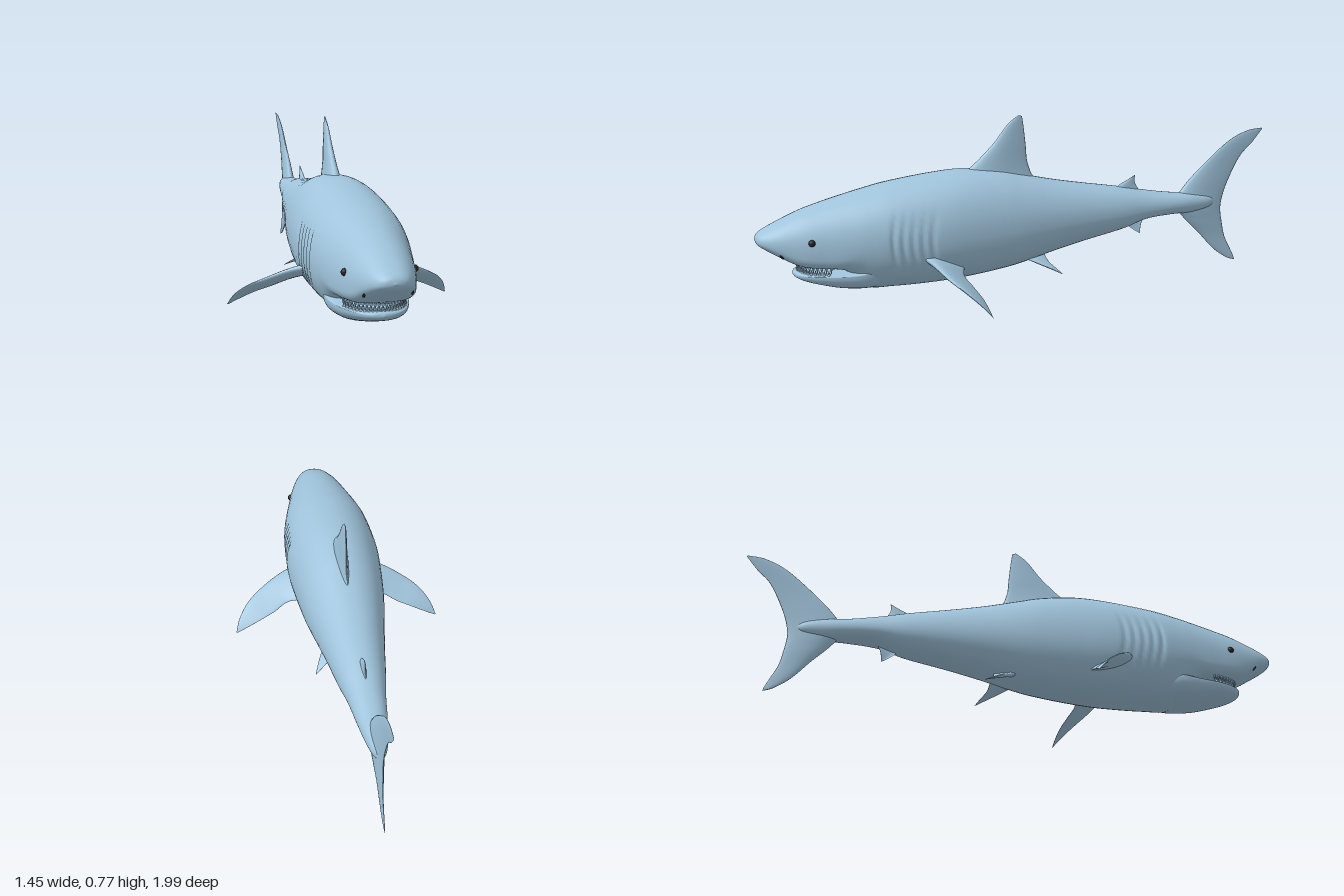
import * as THREE from 'three';

const skin = new THREE.MeshStandardMaterial({ color: 0xa0c4dc });
const dark = new THREE.MeshStandardMaterial({ color: 0x222222 });

// Skin closed rings of points; the winding is set so the faces look outward
function skinRings(rings) {
  const n = rings[0].length, pos = [], idx = [];
  rings.forEach(r => r.forEach(p => pos.push(p.x, p.y, p.z)));
  for (let i = 0; i < rings.length - 1; i++) {
    for (let j = 0; j < n; j++) {
      const a = i * n + j, b = i * n + (j + 1) % n, c = a + n, d = b + n;
      idx.push(a, b, c, b, d, c);
    }
  }
  const flat = rings.flat();
  let volume = 0;
  const v = new THREE.Vector3();
  for (let i = 0; i < idx.length; i += 3) {
    volume += v.crossVectors(flat[idx[i + 1]], flat[idx[i + 2]]).dot(flat[idx[i]]);
  }
  if (volume < 0) idx.reverse();
  const g = new THREE.BufferGeometry();
  g.setAttribute('position', new THREE.Float32BufferAttribute(pos, 3));
  g.setIndex(idx);
  g.computeVertexNormals();
  return g;
}

const spline = pts => new THREE.CatmullRomCurve3(pts, false, 'catmullrom', 0.5);
const vec = (x, y, z) => new THREE.Vector3(x, y, z);
const spow = (a, e) => Math.sign(a) * Math.abs(a) ** e;

// Loft along z through stations [z, top, widest level, bottom, half width]
function loftBody(stations, steps, lowerPower, shape) {
  const a = spline(stations.map(r => vec(r[0], r[1], r[2])));
  const b = spline(stations.map(r => vec(r[3], r[4], 0)));
  const count = (stations.length - 1) * steps, rings = [], sides = 48;
  for (let i = 0; i <= count; i++) {
    const p = a.getPoint(i / count), q = b.getPoint(i / count), ring = [];
    for (let j = 0; j < sides; j++) {
      const t = j / sides * Math.PI * 2, c = Math.cos(t), s = Math.sin(t);
      const e = s >= 0 ? 0.95 : lowerPower(p.x);
      const y = p.z + spow(s, e) * (s >= 0 ? p.y - p.z : p.z - q.x);
      const pt = vec(Math.max(q.y, 0) * spow(c, e), y, p.x);
      if (shape) shape(pt);
      ring.push(pt);
    }
    rings.push(ring);
  }
  return skinRings(rings);
}

// Fin through sections [leading x,y,z, trailing x,y,z, half thickness]
function loftFin(sections, normal, mirror = 1) {
  const lead = spline(sections.map(r => vec(r[0], r[1], r[2])));
  const trail = spline(sections.map(r => vec(r[3], r[4], r[5])));
  const thick = spline(sections.map(r => vec(r[6], 0, 0)));
  const count = (sections.length - 1) * 8, rings = [];
  for (let i = 0; i <= count; i++) {
    const t = i / count, l = lead.getPoint(t), k = trail.getPoint(t), h = thick.getPoint(t).x, ring = [];
    for (let j = 0; j < 24; j++) {
      const a = j / 24 * Math.PI * 2, c = (1 - Math.cos(a)) / 2;
      const p = l.clone().lerp(k, c).addScaledVector(normal, h * Math.sin(a) * (1.25 - 0.75 * c));
      p.x *= mirror;
      ring.push(p);
    }
    rings.push(ring);
  }
  return skinRings(rings);
}

// Upright fin on the midline: [leading y,z, trailing y,z, half thickness]
const midFin = rows => loftFin(rows.map(r => [0, r[0], r[1], 0, r[2], r[3], r[4]]), vec(1, 0, 0));

export function createModel() {
  const model = new THREE.Group();
  const shark = new THREE.Group();
  shark.name = 'shark';
  shark.rotation.y = 0.621;
  shark.position.set(-0.008, 0, 0.006);
  model.add(shark);
  const add = (name, geometry, material = skin) => {
    const m = new THREE.Mesh(geometry, material);
    m.name = name;
    shark.add(m);
    return m;
  };

  // Body with snout, five shallow gill slits on each flank
  const gills = p => {
    const fade = THREE.MathUtils.smoothstep(p.y, 0.14, 0.22) * (1 - THREE.MathUtils.smoothstep(p.y, 0.36, 0.43));
    for (let k = 0; k < 5; k++) {
      const d = p.z - (0.455 + k * 0.043 - 2 * (p.y - 0.29) ** 2);
      p.x *= 1 - 0.035 * fade * Math.exp(-((d / 0.011) ** 2));
    }
  };
  const headPower = z => 0.95 - 0.4 * THREE.MathUtils.smoothstep(z, 0.74, 0.86)
    + 0.35 * THREE.MathUtils.smoothstep(z, 1.02, 1.16);
  add('body', loftBody([
    [1.195, 0.3, 0.3, 0.3, 0], [1.185, 0.322, 0.297, 0.28, 0.042], [1.16, 0.34, 0.29, 0.26, 0.07],
    [1.1, 0.37, 0.275, 0.225, 0.103], [1.0, 0.413, 0.255, 0.18, 0.138], [0.9, 0.444, 0.25, 0.166, 0.162],
    [0.82, 0.465, 0.255, 0.15, 0.18], [0.72, 0.489, 0.268, 0.055, 0.199], [0.6, 0.514, 0.275, 0.045, 0.215],
    [0.4, 0.541, 0.28, 0.048, 0.222], [0.25, 0.55, 0.285, 0.06, 0.213], [0.1, 0.535, 0.29, 0.08, 0.198],
    [0, 0.512, 0.293, 0.1, 0.185], [-0.15, 0.477, 0.297, 0.14, 0.16], [-0.3, 0.449, 0.302, 0.175, 0.135],
    [-0.5, 0.416, 0.307, 0.217, 0.105], [-0.62, 0.392, 0.312, 0.255, 0.084], [-0.75, 0.371, 0.315, 0.266, 0.067],
    [-0.86, 0.362, 0.315, 0.268, 0.05], [-0.95, 0.345, 0.315, 0.285, 0.03], [-1.0, 0.315, 0.315, 0.315, 0]
  ], 20, headPower, gills));

  // Lower jaw
  add('lowerJaw', loftBody([
    [0.55, 0.2, 0.17, 0.07, 0.1], [0.7, 0.175, 0.15, 0.055, 0.165], [0.82, 0.157, 0.14, 0.062, 0.157],
    [0.92, 0.152, 0.14, 0.084, 0.13], [0.99, 0.151, 0.139, 0.104, 0.09], [1.025, 0.149, 0.137, 0.12, 0.048],
    [1.037, 0.138, 0.135, 0.132, 0]
  ], 10, () => 0.85));

  // Teeth along the mouth, upper and lower rows staggered
  for (let i = 0; i < 45; i++) {
    const up = i % 2, a = (i / 44 - 0.5) * 2.5;
    const tooth = add(up ? 'lowerTooth' : 'upperTooth', new THREE.ConeGeometry(0.0075, up ? 0.024 : 0.032, 6));
    tooth.position.set(0.133 * Math.sin(a), up ? 0.157 : 0.166, 0.825 + 0.19 * Math.cos(a));
    if (!up) tooth.rotation.x = Math.PI;
  }

  // Dorsal fins, anal fin and tail
  add('dorsalFin', midFin([
    [0.45, 0.3, 0.43, -0.16, 0.05], [0.535, 0.245, 0.485, -0.08, 0.034], [0.59, 0.185, 0.56, -0.045, 0.024],
    [0.66, 0.115, 0.64, -0.036, 0.017], [0.74, 0.052, 0.725, -0.026, 0.009], [0.78, 0.0, 0.777, -0.018, 0.002]
  ]));
  add('secondDorsalFin', midFin([
    [0.38, -0.44, 0.37, -0.62, 0.016], [0.422, -0.492, 0.41, -0.585, 0.011],
    [0.445, -0.535, 0.44, -0.573, 0.006], [0.466, -0.572, 0.466, -0.575, 0.001]
  ]));
  add('analFin', midFin([
    [0.28, -0.5, 0.28, -0.64, 0.015], [0.228, -0.54, 0.24, -0.615, 0.01],
    [0.2, -0.575, 0.205, -0.607, 0.006], [0.183, -0.603, 0.183, -0.606, 0.001]
  ]));
  add('tailFin', midFin([
    [0.656, -1.225, 0.65, -1.228, 0.001], [0.645, -1.145, 0.585, -1.175, 0.004], [0.6, -1.05, 0.53, -1.12, 0.007],
    [0.5, -0.93, 0.45, -1.075, 0.012], [0.4, -0.83, 0.36, -1.038, 0.022], [0.315, -0.78, 0.28, -1.022, 0.03],
    [0.24, -0.83, 0.2, -1.033, 0.022], [0.16, -0.91, 0.13, -1.05, 0.012], [0.075, -0.99, 0.07, -1.08, 0.007],
    [0.025, -1.06, 0.03, -1.1, 0.004], [0.008, -1.105, 0.008, -1.108, 0.001]
  ]));

  // Paired fins, eyes and nostrils
  for (const [side, m] of [['left', 1], ['right', -1]]) {
    add(side + 'PectoralFin', loftFin([
      [0.14, 0.215, 0.51, 0.14, 0.15, 0.29, 0.032], [0.25, 0.19, 0.465, 0.23, 0.125, 0.318, 0.023],
      [0.345, 0.15, 0.42, 0.3, 0.09, 0.295, 0.017], [0.42, 0.11, 0.367, 0.375, 0.06, 0.275, 0.011],
      [0.47, 0.06, 0.31, 0.44, 0.03, 0.265, 0.006], [0.494, 0.008, 0.263, 0.49, 0.006, 0.262, 0.001]
    ], vec(0.5, 0.86, 0), m));
    add(side + 'PelvicFin', loftFin([
      [0.05, 0.15, 0.03, 0.05, 0.14, -0.11, 0.016], [0.1, 0.125, -0.03, 0.085, 0.11, -0.12, 0.01],
      [0.135, 0.095, -0.1, 0.125, 0.085, -0.145, 0.006], [0.16, 0.065, -0.165, 0.158, 0.065, -0.165, 0.001]
    ], vec(0.55, 0.83, 0), m));
    const eye = add(side + 'Eye', new THREE.SphereGeometry(0.015, 20, 14), dark);
    eye.position.set(m * 0.14, 0.3, 0.965);
    const nostril = add(side + 'Nostril', new THREE.SphereGeometry(0.01, 12, 8), dark);
    nostril.scale.set(0.5, 1.2, 0.5);
    nostril.position.set(m * 0.095, 0.238, 1.09);
    nostril.rotation.x = 0.6;
  }
  return model;
}
